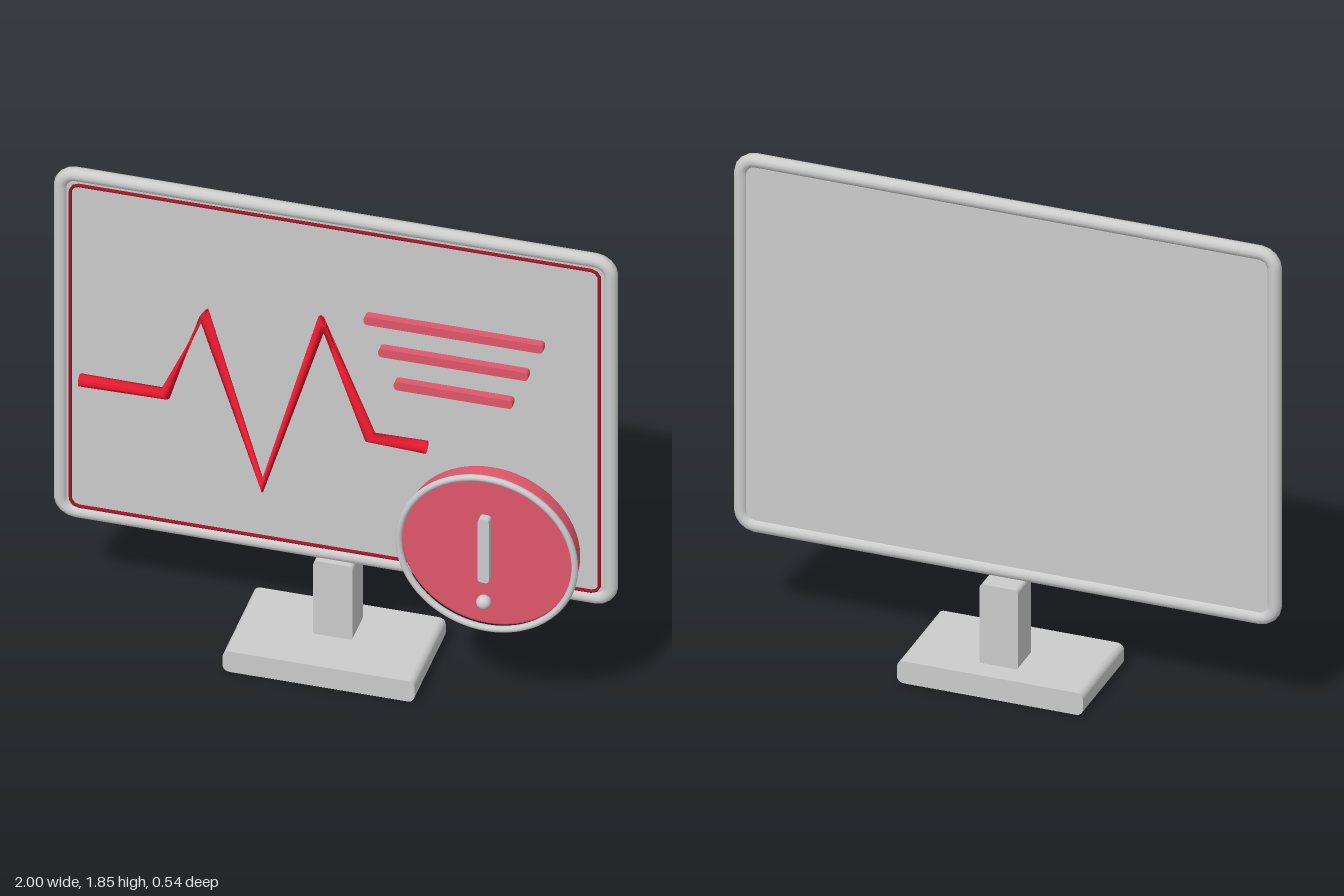
import * as THREE from 'three';

const material = (color, extra = {}) => new THREE.MeshStandardMaterial({ color, ...extra });
const grey = material(0xcccccc);
const rose = material(0xe0566b);
const brightRed = material(0xe8192f, { side: THREE.DoubleSide });
const darkRed = material(0xa51226);

// Rounded rectangle centred on the origin
function roundedRect(w, h, r) {
  const x = w / 2, y = h / 2, s = new THREE.Shape();
  s.moveTo(-x + r, -y);
  s.lineTo(x - r, -y);
  s.absarc(x - r, -y + r, r, -Math.PI / 2, 0);
  s.lineTo(x, y - r);
  s.absarc(x - r, y - r, r, 0, Math.PI / 2);
  s.lineTo(-x + r, y);
  s.absarc(-x + r, y - r, r, Math.PI / 2, Math.PI);
  s.lineTo(-x, -y + r);
  s.absarc(-x + r, -y + r, r, Math.PI, Math.PI * 1.5);
  return s;
}

// Flat slab with rounded corners, centred on its depth
function slab(w, h, depth, r) {
  return new THREE.ExtrudeGeometry(roundedRect(w, h, r), { depth, bevelEnabled: false, curveSegments: 6 })
    .translate(0, 0, -depth / 2);
}

// Closed path around a rounded rectangle
class RectPath extends THREE.Curve {
  constructor(w, h, r) {
    super();
    this.shape = roundedRect(w, h, r);
    this.arcLengthDivisions = 600;
  }
  getPoint(t) {
    const p = this.shape.getPoint(t);
    return new THREE.Vector3(p.x, p.y, 0);
  }
}

// Straight zigzag with one tube ring at each point
class Zigzag extends THREE.Curve {
  constructor(points) {
    super();
    this.points = points.map(([x, y]) => new THREE.Vector3(x, y, 0));
  }
  getPoint(t) {
    const n = this.points.length - 1;
    const i = Math.min(Math.floor(t * n), n - 1);
    return this.points[i].clone().lerp(this.points[i + 1], t * n - i);
  }
  getPointAt(u) { return this.getPoint(u); }
  getTangentAt(u) { return this.getTangent(u); }
}

export function createModel() {
  const model = new THREE.Group();
  const add = (name, geometry, mat, x, y, z, parent = model) => {
    const mesh = new THREE.Mesh(geometry, mat);
    mesh.name = name;
    mesh.position.set(x, y, z);
    parent.add(mesh);
    return mesh;
  };

  // Stand
  add('base', slab(0.68, 0.085, 0.39, 0.025), grey, 0, 0.0425, -0.077);
  add('neck', slab(0.14, 0.31, 0.125, 0.015), grey, 0, 0.235, -0.125);

  // Monitor
  const screenY = 1.115;
  add('screenPanel', slab(1.91, 1.37, 0.02, 0.04), grey, 0, screenY, -0.1);
  add('screenFrame', new THREE.TubeGeometry(new RectPath(1.95, 1.41, 0.055), 320, 0.025, 12, true),
    grey, 0, screenY, -0.1);
  add('screenOutline', new THREE.TubeGeometry(new RectPath(1.875, 1.345, 0.03), 320, 0.006, 6, true),
    darkRed, 0, 1.111, -0.086);

  // Pulse line floating before the screen
  const pulse = new Zigzag([
    [-0.86, 1.085], [-0.556, 1.087], [-0.42, 1.45], [-0.212, 0.767],
    [0, 1.5], [0.17, 1.047], [0.37, 1.044],
  ]);
  add('pulseLine', new THREE.TubeGeometry(pulse, 6, 0.023, 8, false), brightRed, 0, 0, 0.07);

  // Text-like bars
  [[0.468, 1.543, 0.635], [0.467, 1.418, 0.53], [0.467, 1.29, 0.42]].forEach(([x, y, w], i) =>
    add(`infoBar${i + 1}`, slab(w, 0.034, 0.03, 0.013), rose, x, y, 0.07));

  // Warning badge
  const badge = new THREE.Group();
  badge.name = 'warningBadge';
  badge.position.set(0.622, 0.743, 0);
  model.add(badge);
  const half = 0.032, bevel = 0.012, radius = 0.311;
  const profile = [new THREE.Vector2(0, -half), new THREE.Vector2(radius - bevel, -half)];
  for (const side of [-1, 1]) {
    for (let i = 0; i <= 4; i++) {
      const a = (side < 0 ? i - 4 : i) * Math.PI / 8;
      profile.push(new THREE.Vector2(radius - bevel + bevel * Math.cos(a),
        side * (half - bevel) + bevel * Math.sin(a)));
    }
  }
  profile.push(new THREE.Vector2(0, half));
  add('badgeDisc', new THREE.LatheGeometry(profile, 64).rotateX(Math.PI / 2), rose, 0, 0, 0.158, badge);
  add('badgeRing', new THREE.TorusGeometry(0.312, 0.012, 10, 72), grey, 0, 0, 0.207, badge);
  add('exclamationBar', slab(0.04, 0.265, 0.03, 0.013), grey, 0, 0.04, 0.238, badge);
  add('exclamationDot', new THREE.SphereGeometry(0.026, 20, 14), grey, 0, -0.177, 0.246, badge);

  return model;
}
